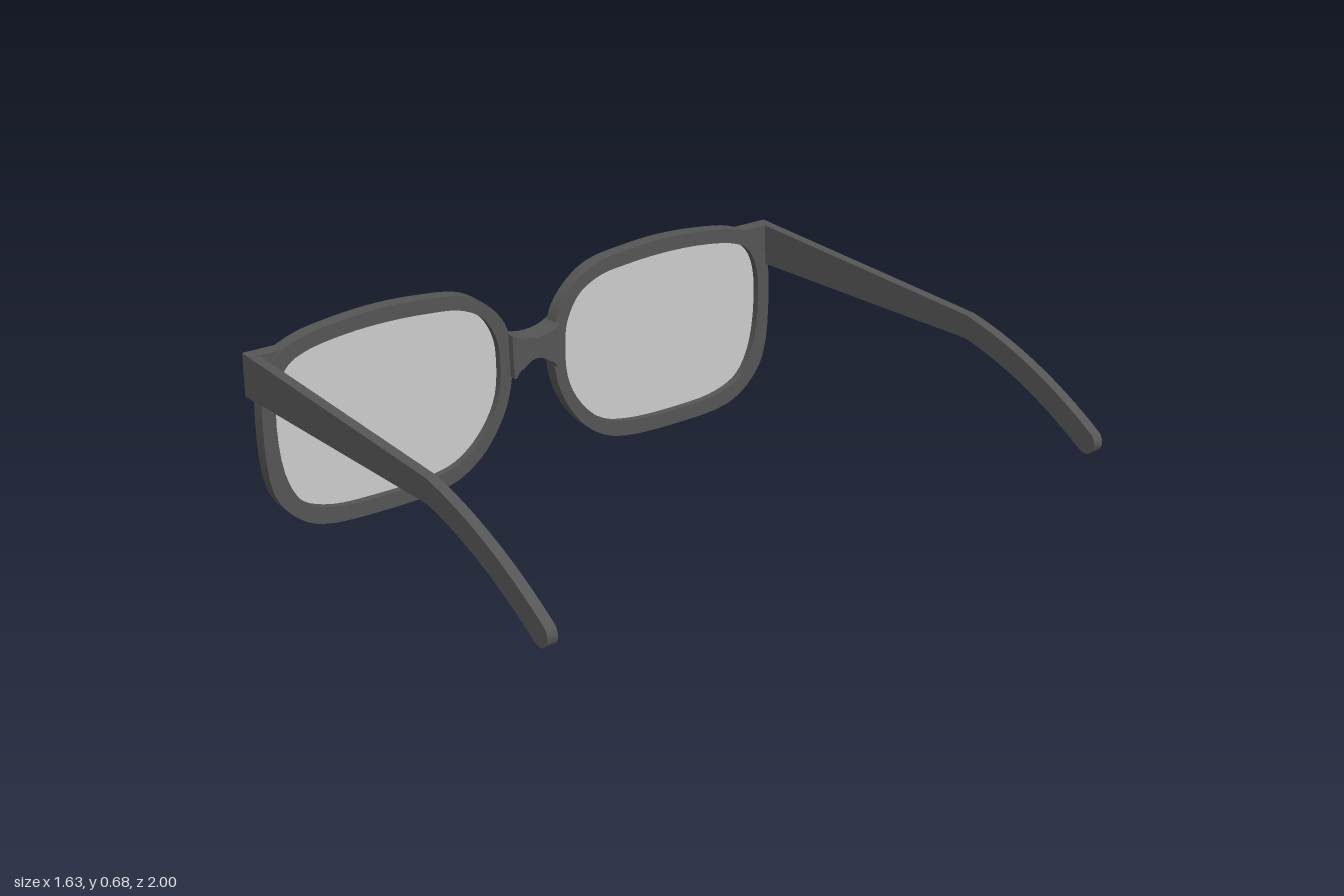
import * as THREE from 'three';
import { toCreasedNormals } from 'three/addons/utils/BufferGeometryUtils.js';

const frameMat = new THREE.MeshStandardMaterial({ color: 0x555555 });
const lensMat = new THREE.MeshStandardMaterial({ color: 0xbebebe, side: THREE.DoubleSide });

// Rim outlines as [z, y] for the lens on the +z side
const OUTER = [[0.54, 0.685], [0.39, 0.677], [0.25, 0.655], [0.17, 0.608], [0.105, 0.53], [0.081, 0.433],
  [0.086, 0.32], [0.115, 0.22], [0.19, 0.105], [0.276, 0.04], [0.367, 0.012], [0.58, 0.002], [0.8, 0.018],
  [0.89, 0.068], [0.957, 0.162], [0.98, 0.4], [0.967, 0.53], [0.93, 0.605], [0.84, 0.651], [0.7, 0.675]];
const INNER = [[0.54, 0.635], [0.39, 0.628], [0.265, 0.61], [0.185, 0.565], [0.139, 0.487], [0.127, 0.41],
  [0.138, 0.273], [0.196, 0.166], [0.287, 0.09], [0.394, 0.062], [0.58, 0.054], [0.76, 0.066],
  [0.858, 0.11], [0.914, 0.215], [0.933, 0.43], [0.912, 0.53], [0.875, 0.58], [0.812, 0.608], [0.68, 0.629]];

// Smooth closed loop through the points; the mirrored side keeps the same winding
function loop(points, side) {
  const pts = points.map(([z, y]) => new THREE.Vector3(side * z - 0.003, y, 0));
  if (side < 0) pts.reverse();
  return new THREE.CatmullRomCurve3(pts, true, 'centripetal').getPoints(80).slice(0, -1)
    .map((p) => new THREE.Vector2(p.x, p.y));
}

function extrude(shape, depth) {
  return toCreasedNormals(new THREE.ExtrudeGeometry(shape,
    { depth, bevelEnabled: false, curveSegments: 16 }), 0.6);
}

// Turns a (z, y) profile to lie across x, from xMin to xMax
function acrossX(shape, xMin, xMax) {
  return extrude(shape, xMax - xMin).rotateY(-Math.PI / 2).translate(xMax, 0, 0);
}

function add(group, name, geometry, material = frameMat) {
  const mesh = new THREE.Mesh(geometry, material);
  mesh.name = name;
  group.add(mesh);
  return mesh;
}

// Tapered arm that bends down to a rounded tip
function templeShape() {
  const s = new THREE.Shape();
  s.moveTo(-0.815, 0.497);
  s.lineTo(0.24, 0.543);
  s.quadraticCurveTo(0.5, 0.5, 0.752, 0.35);
  s.absarc(0.777, 0.381, 0.038, -2.2, 0.95, false);
  s.quadraticCurveTo(0.53, 0.573, 0.24, 0.62);
  s.lineTo(-0.815, 0.638);
  s.closePath();
  return s;
}

// Saddle-shaped nose bridge
function bridgeShape() {
  const s = new THREE.Shape();
  s.moveTo(0.09, 0.49);
  s.quadraticCurveTo(0.05, 0.465, -0.005, 0.465);
  s.quadraticCurveTo(-0.06, 0.465, -0.098, 0.49);
  s.lineTo(-0.095, 0.34);
  s.lineTo(-0.085, 0.34);
  s.quadraticCurveTo(-0.072, 0.365, -0.055, 0.368);
  s.quadraticCurveTo(-0.005, 0.415, 0.045, 0.368);
  s.quadraticCurveTo(0.065, 0.365, 0.075, 0.34);
  s.lineTo(0.085, 0.34);
  s.closePath();
  return s;
}

// Corner lug joining rim and arm, outside the lens opening
function hingeShape(side) {
  const pts = [[0.87, 0.638], [1, 0.638], [1, 0.497], [0.95, 0.497], [0.945, 0.56], [0.89, 0.61]];
  return new THREE.Shape(pts.map(([z, y]) => new THREE.Vector2(side * z, y)));
}

export function createModel() {
  const glasses = new THREE.Group();
  glasses.name = 'glasses';

  for (const side of [1, -1]) {
    const label = side > 0 ? 'left' : 'right';
    const lift = side > 0 ? -0.011 : 0.002;

    // Rim with its lens
    const rim = new THREE.Shape(loop(OUTER, side));
    const opening = loop(INNER, side);
    rim.holes.push(new THREE.Path([...opening].reverse()));
    add(glasses, label + 'Rim', acrossX(rim, -0.81, -0.76));
    add(glasses, label + 'Lens',
      new THREE.ShapeGeometry(new THREE.Shape(opening)).rotateY(-Math.PI / 2).translate(-0.785, 0, 0), lensMat);

    // Hinge lug and temple arm
    add(glasses, label + 'Hinge', acrossX(hingeShape(side), -0.815, -0.765)).position.y = lift;
    const temple = add(glasses, label + 'Temple', extrude(templeShape(), 0.033));
    temple.position.set(0, lift, side > 0 ? 0.967 : -1);
  }

  add(glasses, 'bridge', acrossX(bridgeShape(), -0.818, -0.736));
  return glasses;
}
